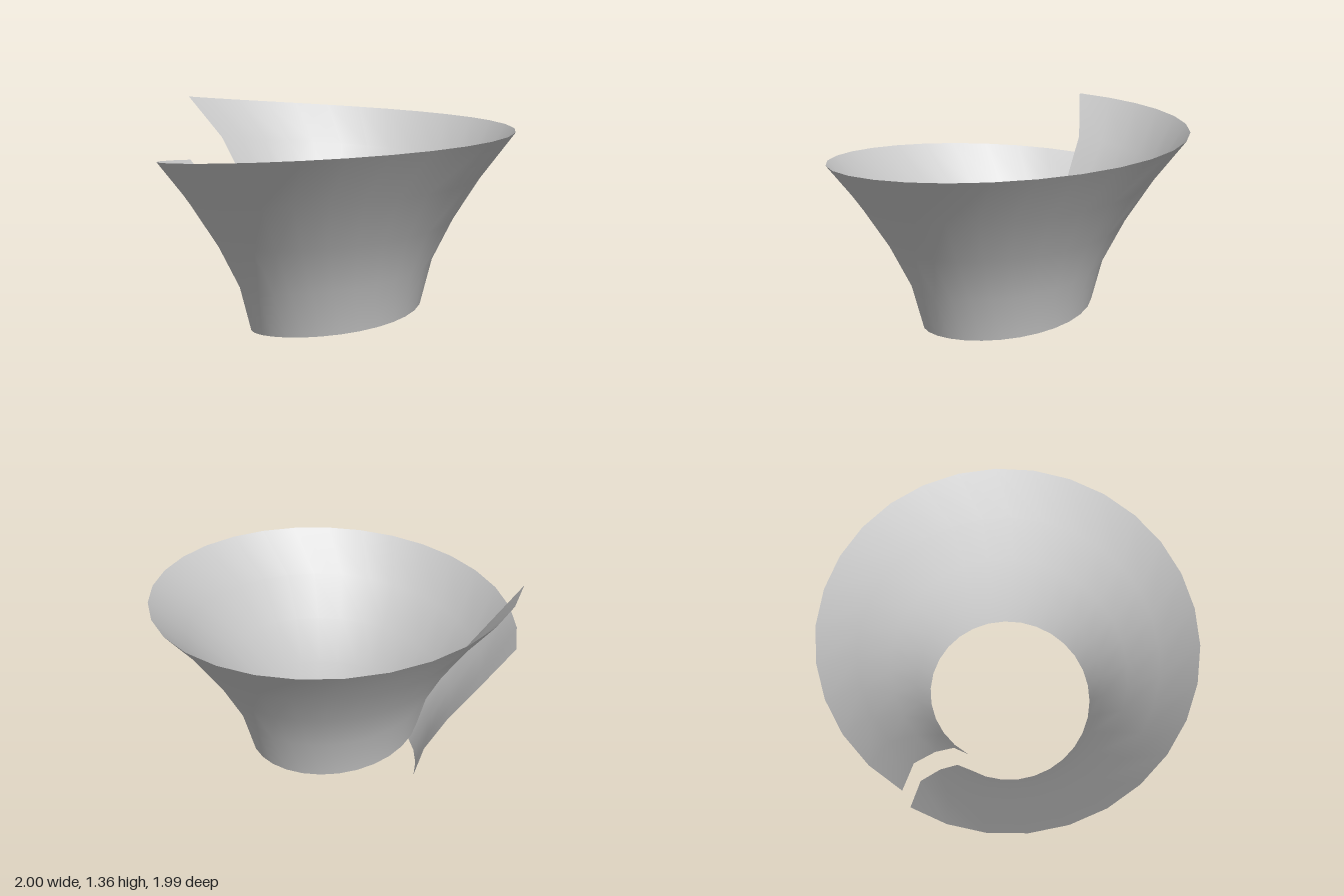
import * as THREE from 'three';

const SEGMENTS = 30;   // steps around one full turn
const RISE = 0.385;    // height gained over the turn

// Flared, slightly twisted section: [distance outward, height, sideways offset]
const PROFILE = [
  [0.49, 0, 0],
  [0.55, 0.245, -0.045],
  [0.67, 0.49, -0.07],
  [0.82, 0.73, -0.08],
  [1.0, 0.975, 0],
];

export function createModel() {
  const group = new THREE.Group();
  group.name = 'spiralFunnel';

  // Sweep the section round the y axis, climbing steadily, from the -x side via the front
  const rows = PROFILE.length - 1;
  const geometry = new THREE.PlaneGeometry(1, 1, SEGMENTS, rows);
  const { position, uv } = geometry.attributes;
  for (let i = 0; i < position.count; i++) {
    const turn = uv.getX(i);
    const [out, height, side] = PROFILE[Math.round(uv.getY(i) * rows)];
    const a = turn * Math.PI * 2;
    position.setXYZ(
      i,
      -out * Math.cos(a) + side * Math.sin(a),
      height + RISE * turn,
      out * Math.sin(a) + side * Math.cos(a),
    );
  }
  geometry.computeVertexNormals();

  const wall = new THREE.Mesh(
    geometry,
    new THREE.MeshStandardMaterial({ color: 0xcccccc, side: THREE.DoubleSide }),
  );
  wall.name = 'helicalWall';
  group.add(wall);
  return group;
}
